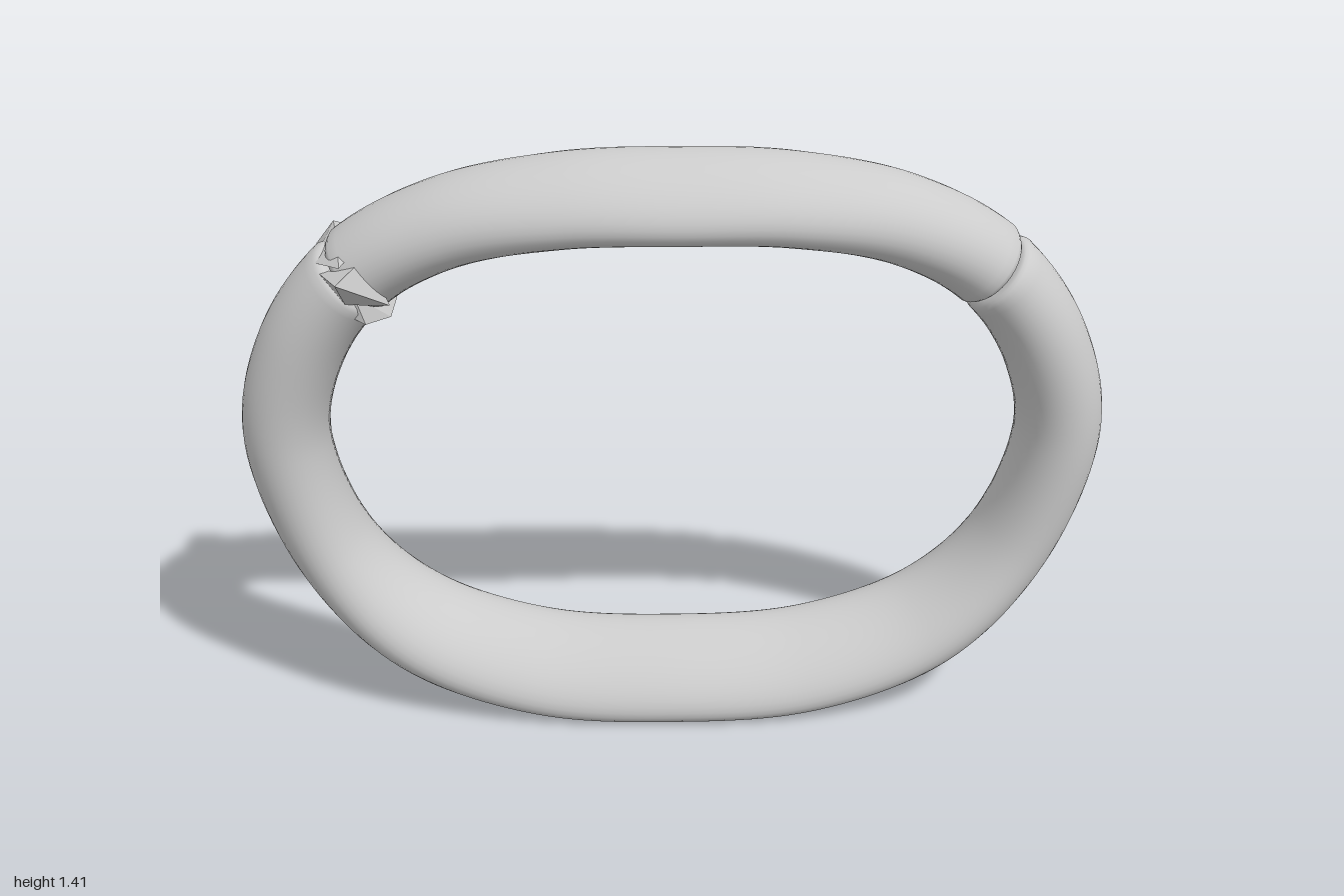
import * as THREE from 'three';
import { ConvexGeometry } from 'three/addons/geometries/ConvexGeometry.js';

// Half of the ring from bottom centre to top centre:
// x, y, z, half width, half thickness, tilt in degrees (front edge outward)
const HALF = [
  [0, 0.1, -0.06, 0.14, 0.07, 36],
  [0.32, 0.115, -0.075, 0.14, 0.072, 35],
  [0.61, 0.205, -0.115, 0.138, 0.085, 27],
  [0.81, 0.4, -0.143, 0.128, 0.094, 12],
  [0.9, 0.69, -0.122, 0.119, 0.1, 0],
  [0.85, 0.93, -0.096, 0.117, 0.1, -6],
  [0.71, 1.125, -0.068, 0.118, 0.096, -12],
  [0.5, 1.25, -0.025, 0.122, 0.088, -21],
  [0.25, 1.308, 0.012, 0.128, 0.076, -28],
  [0, 1.32, 0.028, 0.13, 0.07, -31],
];
const LOOP = [...HALF, ...HALF.slice(1, -1).reverse().map(([x, ...rest]) => [-x, ...rest])];
const N = LOOP.length;
const closedCurve = (pick) =>
  new THREE.CatmullRomCurve3(LOOP.map((k) => new THREE.Vector3(...pick(k))), true, 'catmullrom', 0.5);
const path = closedCurve((k) => k.slice(0, 3));
const section = closedCurve((k) => k.slice(3));

// Sweep the tilted oval section between two keys of the loop, with rounded closed ends
function sweep(from, to, steps, grow) {
  const rings = [[from, 0], [from, 0.5], [from, 0.82]];
  for (const d of [0.015, 0.04, 0.08]) rings.push([from + d, 0.82 + 0.18 * Math.sqrt(d / 0.08)]);
  for (let i = 1; i < steps; i++) rings.push([from + 0.08 + ((to - from - 0.16) * i) / steps, 1]);
  for (const d of [0.08, 0.04, 0.015]) rings.push([to - d, 0.82 + 0.18 * Math.sqrt(d / 0.08)]);
  rings.push([to, 0.82], [to, 0.5], [to, 0]);

  const sides = 36, pos = [], index = [];
  rings.forEach(([key, scale], i) => {
    const t = (((key / N) % 1) + 1) % 1;
    const c = path.getPoint(t), s = section.getPoint(t);
    const T = path.getTangent(t);
    const inward = new THREE.Vector3(-T.y, T.x, 0).normalize();
    const across = new THREE.Vector3().crossVectors(T, inward);
    const a = THREE.MathUtils.degToRad(s.z);
    const L = across.clone().multiplyScalar(Math.cos(a)).addScaledVector(inward, -Math.sin(a));
    const S = across.clone().multiplyScalar(Math.sin(a)).addScaledVector(inward, Math.cos(a));
    // slight flare close to the joints
    const nearEnd = Math.max(0, 1 - Math.min(key - from, to - key) / 0.8);
    const k = scale * (1 + grow * nearEnd);
    for (let j = 0; j < sides; j++) {
      const q = (j / sides) * Math.PI * 2;
      const p = c.clone()
        .addScaledVector(L, s.x * k * Math.cos(q))
        .addScaledVector(S, s.y * k * Math.sin(q));
      pos.push(p.x, p.y, p.z);
      if (i < rings.length - 1) {
        const A = i * sides + j, B = i * sides + ((j + 1) % sides);
        index.push(A, A + sides, B, B, A + sides, B + sides);
      }
    }
  });
  const g = new THREE.BufferGeometry();
  g.setAttribute('position', new THREE.Float32BufferAttribute(pos, 3));
  g.setIndex(index);
  g.computeVertexNormals();
  return g;
}

export function createModel() {
  const group = new THREE.Group();
  const smooth = new THREE.MeshStandardMaterial({ color: 0xcccccc });
  const faceted = new THREE.MeshStandardMaterial({ color: 0xcccccc, flatShading: true });
  const add = (name, geometry, material) => {
    const mesh = new THREE.Mesh(geometry, material);
    mesh.name = name;
    group.add(mesh);
  };
  const shard = (name, points) =>
    add(name, new ConvexGeometry(points.map((p) => new THREE.Vector3(...p))), faceted);

  // Two tubes that meet at the shoulder joints
  add('upperArc', sweep(6, 12, 70, 0.02), smooth);
  add('lowerLoop', sweep(12.03, 23.97, 130, 0), smooth);

  // Pointed splinter sticking forward from the right joint
  shard('spike', [
    [-0.7, 1.205, 0.265], [-0.62, 1.085, 0.05], [-0.72, 1.08, 0.03],
    [-0.78, 1.14, -0.01], [-0.69, 1.17, 0.03], [-0.66, 1.12, -0.05],
  ]);
  // Thin splinter running back over the joint
  shard('backSplinter', [
    [-0.81, 1.15, -0.19], [-0.77, 1.2, -0.2], [-0.74, 1.2, -0.06],
    [-0.79, 1.16, -0.02], [-0.72, 1.18, 0.08], [-0.68, 1.18, -0.19],
  ]);
  // Small crumbs at the back and inside of the joint
  shard('rearCrumb', [
    [-0.77, 1.18, -0.2], [-0.71, 1.2, -0.205], [-0.7, 1.12, -0.21],
    [-0.74, 1.1, -0.16], [-0.68, 1.16, -0.15],
  ]);
  shard('innerCrumb', [
    [-0.75, 1.07, 0.02], [-0.68, 1.03, 0.02], [-0.63, 1.03, -0.03],
    [-0.62, 1.06, -0.08], [-0.7, 1.1, 0.03], [-0.66, 1.05, -0.12],
  ]);
  return group;
}
